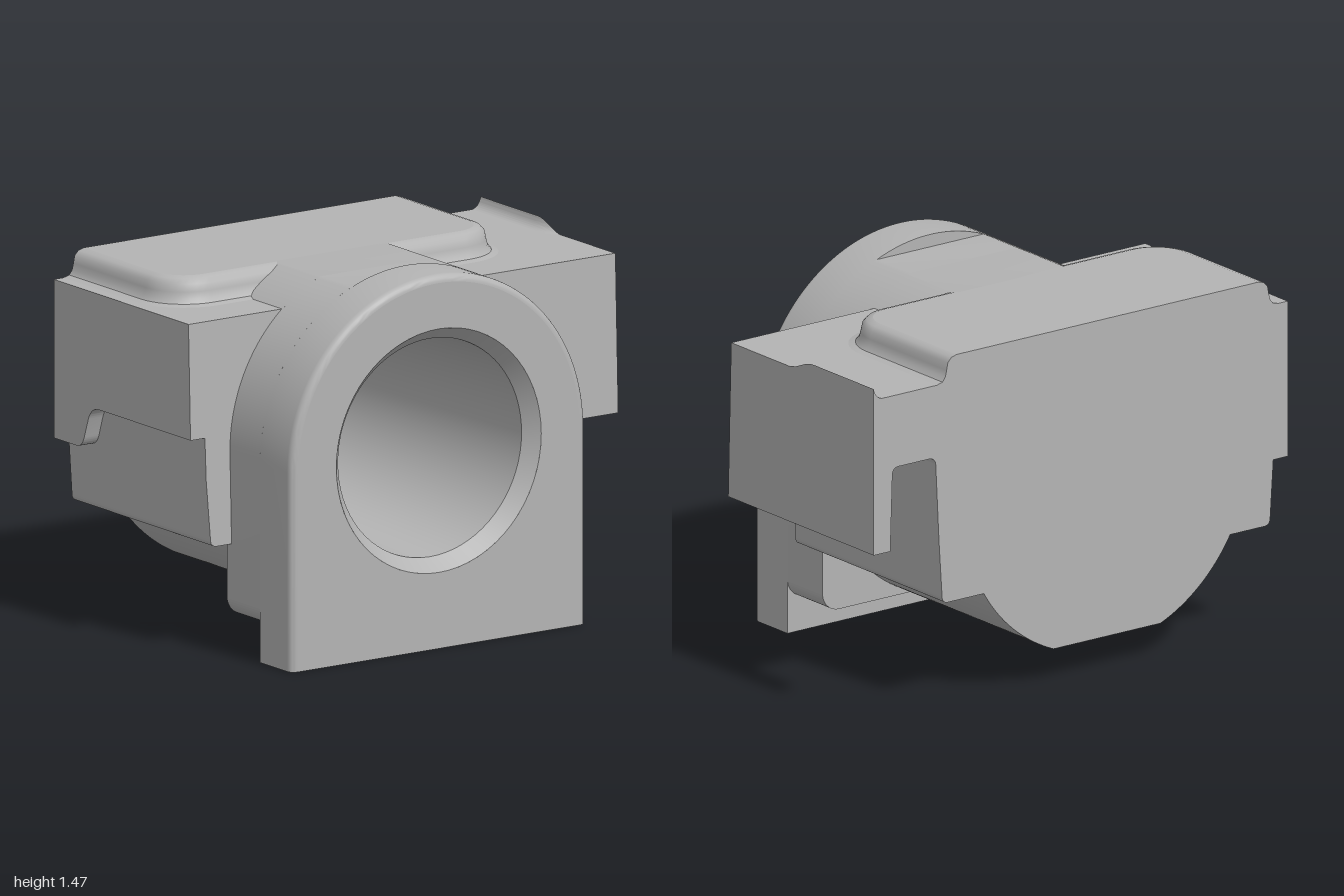
import * as THREE from 'three';
import { toCreasedNormals } from 'three/addons/utils/BufferGeometryUtils.js';

const CX = -0.127, CY = 0.78, R = 0.69, BORE = 0.44, BACK = -0.66;
const CLIP = Math.asin(0.64 / R);   // where the round is cut flat, top and bottom
const SHELF = Math.asin(0.35 / R);  // where the round meets the shelf underneath

export function createModel() {
  const model = new THREE.Group();
  const grey = new THREE.MeshStandardMaterial({ color: 0xb4b4b4, side: THREE.DoubleSide });
  grey.name = 'cast grey';

  const add = (name, geometry) => {
    const mesh = new THREE.Mesh(toCreasedNormals(geometry, 0.6), grey);
    mesh.name = name;
    model.add(mesh);
  };
  const extrude = (shape, z0, z1, steps = 1) =>
    new THREE.ExtrudeGeometry(shape, { depth: z1 - z0, steps, bevelEnabled: false, curveSegments: 24 }).translate(0, 0, z0);
  const reshape = (g, rule) => {
    const p = g.attributes.position, v = new THREE.Vector3();
    for (let i = 0; i < p.count; i++) {
      rule(v.fromBufferAttribute(p, i));
      p.setXYZ(i, v.x, v.y, v.z);
    }
    return g;
  };
  // casting draft: the front face leans forward toward the bottom
  const draft = (g) => reshape(g, (v) => { if (v.z > 0.2) v.z = 0.235 + (1.315 - v.y) * 0.03; });
  const withHole = (shape, r) => {
    shape.holes.push(new THREE.Path().absarc(CX, CY, r, 0, Math.PI * 2, true));
    return shape;
  };
  // skin joining matching loops of points
  const loft = (loops, closed) => {
    const n = loops[0].length, index = [];
    for (let i = 0; i < loops.length - 1; i++) {
      for (let j = 0; j < (closed ? n : n - 1); j++) {
        const a = i * n + j, b = i * n + (j + 1) % n;
        index.push(a, b, b + n, a, b + n, a + n);
      }
    }
    const g = new THREE.BufferGeometry().setFromPoints(loops.flat());
    g.setIndex(index);
    g.computeVertexNormals();
    return g;
  };

  // Arched front flange with a rounded front rim
  const arch = (r) => {
    const pts = [new THREE.Vector2(CX + r, 0)];
    for (let i = 0; i <= 64; i++) {
      const a = Math.PI * i / 64;
      pts.push(new THREE.Vector2(CX + r * Math.cos(a), CY + r * Math.sin(a)));
    }
    pts.push(new THREE.Vector2(CX - r, 0));
    return pts;
  };
  const rim = [arch(R).map((p) => new THREE.Vector3(p.x, p.y, 0.45))];
  for (let i = 0; i <= 6; i++) {
    const a = Math.PI / 2 * i / 6;
    rim.push(arch(R - 0.03 * (1 - Math.cos(a))).map((p) => new THREE.Vector3(p.x, p.y, 0.63 + 0.03 * Math.sin(a))));
  }
  add('flangeRim', loft(rim, true));
  add('flangeFront', new THREE.ShapeGeometry(withHole(new THREE.Shape(arch(R - 0.03)), 0.48), 32).translate(0, 0, 0.66));
  add('flangeBack', new THREE.ShapeGeometry(withHole(new THREE.Shape(arch(R)), BORE), 32).rotateY(Math.PI).scale(-1, 1, -1).translate(0, 0, 0.45));

  // Tapered blind bore with a chamfered mouth
  const bore = [[0.48, 0.66], [0.43, 0.6], [0.375, BACK + 0.01]].map(([r, z]) => new THREE.Vector2(r, z));
  add('bore', new THREE.LatheGeometry(bore, 72).rotateX(Math.PI / 2).translate(CX, CY, 0));
  add('boreEnd', new THREE.CircleGeometry(BORE + 0.002, 64).rotateY(Math.PI).translate(CX, CY, BACK));

  // Neck behind the flange, cut flat at top and bottom
  const neck = new THREE.Shape();
  neck.moveTo(CX - R + 0.08, 0.14);
  neck.lineTo(CX + R - 0.08, 0.14);
  neck.absarc(CX + R - 0.08, 0.22, 0.08, -Math.PI / 2, 0, false);
  neck.absarc(CX, CY, R, 0, CLIP, false);
  neck.absarc(CX, CY, R, Math.PI - CLIP, Math.PI, false);
  neck.absarc(CX - R + 0.08, 0.22, 0.08, Math.PI, Math.PI * 1.5, false);
  add('neck', extrude(withHole(neck, BORE), 0.23, 0.45));

  // Top of the neck running back into the raised deck
  const low = Math.asin(0.52 / R);
  const saddle = new THREE.Shape();
  saddle.absarc(CX, CY, R, low, CLIP, false);
  saddle.absarc(CX, CY, R, Math.PI - CLIP, Math.PI - low, false);
  add('neckSaddle', extrude(saddle, -0.06, 0.24));

  // Main housing; the rear length has a slot under the left wing
  const housing = (slot) => {
    const s = new THREE.Shape();
    s.absarc(CX, CY, R, -CLIP, -SHELF, false);
    s.lineTo(0.64, 0.43);
    s.quadraticCurveTo(0.67, 0.43, 0.67, 0.46);
    s.lineTo(0.685, 0.69);
    if (slot) {
      s.lineTo(0.7, 0.99);
      s.quadraticCurveTo(0.7, 1.025, 0.735, 1.025);
      s.lineTo(0.88, 1.025);
      s.quadraticCurveTo(0.91, 1.025, 0.91, 0.99);
      s.lineTo(0.92, 0.69);
    }
    s.lineTo(1, 0.69);
    s.lineTo(1, 1.315);
    s.lineTo(-0.94, 1.315);
    s.lineTo(-0.93, 0.69);
    s.lineTo(-0.915, 0.46);
    s.quadraticCurveTo(-0.915, 0.43, -0.885, 0.43);
    s.absarc(CX, CY, R, Math.PI + SHELF, Math.PI + CLIP, false);
    return withHole(s, BORE);
  };
  add('housingRear', extrude(housing(true), BACK, -0.05));
  add('housingFront', draft(extrude(housing(false), -0.05, 0.25)));

  // Right side wall with a stepped lower edge, drawn in z and y
  const wall = new THREE.Shape();
  wall.moveTo(BACK, 0.69);
  wall.lineTo(-0.51, 0.69);
  wall.quadraticCurveTo(-0.47, 0.69, -0.455, 0.74);
  wall.lineTo(-0.43, 0.81);
  wall.quadraticCurveTo(-0.41, 0.86, -0.36, 0.86);
  wall.lineTo(0.25, 0.86);
  wall.lineTo(0.25, 1.315);
  wall.lineTo(BACK, 1.315);
  add('sideWall', draft(extrude(wall, 0, 0.08).rotateY(-Math.PI / 2).translate(-0.92, 0, 0)));

  // Raised deck with S-shaped flanks, open at the back
  const flank = [[0, 1.42], [0.025, 1.413], [0.042, 1.395], [0.048, 1.365], [0.054, 1.34], [0.068, 1.322], [0.095, 1.315]];
  const plan = (d) => {
    const r = 0.13 + d, x0 = -0.86 - d, x1 = 0.6 + d, z = -0.05 + d;
    const pts = [new THREE.Vector2(x1, BACK)];
    for (const [cx, from] of [[x1 - r, 0], [x0 + r, Math.PI / 2]]) {
      for (let i = 0; i <= 10; i++) {
        const a = from + Math.PI / 2 * i / 10;
        pts.push(new THREE.Vector2(cx + r * Math.cos(a), z - r + r * Math.sin(a)));
      }
    }
    pts.push(new THREE.Vector2(x0, BACK));
    return pts;
  };
  add('deckFlank', loft(flank.map(([d, y]) => plan(d).map((p) => new THREE.Vector3(p.x, y, p.y))), false));
  const top = plan(0).map((p) => new THREE.Vector2(p.x, -p.y));
  add('deckTop', new THREE.ShapeGeometry(new THREE.Shape(top)).rotateX(-Math.PI / 2).translate(0, 1.42, 0));
  const end = [
    ...flank.map(([d, y]) => new THREE.Vector2(0.6 + d, y)),
    ...flank.map(([d, y]) => new THREE.Vector2(-0.86 - d, y)).reverse(),
  ];
  add('deckEnd', new THREE.ShapeGeometry(new THREE.Shape(end)).rotateY(Math.PI).scale(-1, 1, 1).translate(0, 0, BACK));

  // Small curved lip on the left edge, fading out toward the front
  const lip = new THREE.Shape();
  lip.moveTo(0.95, 1.314);
  lip.lineTo(1, 1.314);
  lip.lineTo(1, 1.36);
  lip.quadraticCurveTo(0.99, 1.316, 0.95, 1.314);
  add('edgeLip', reshape(extrude(lip, BACK, -0.12, 30), (v) => {
    v.y = 1.314 + (v.y - 1.314) * (1 - THREE.MathUtils.smoothstep(v.z, -0.28, -0.12));
  }));

  return model;
}
